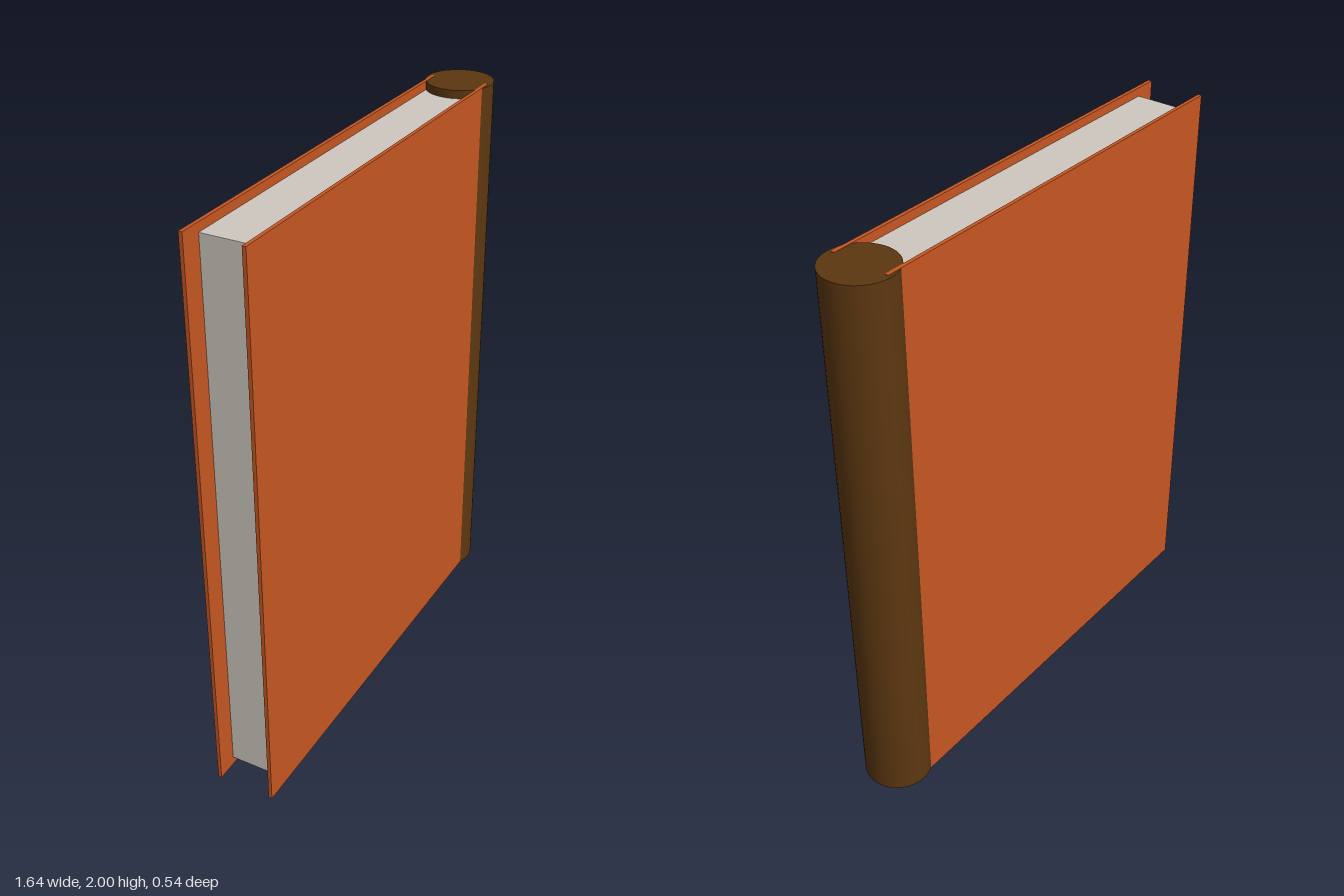
import * as THREE from 'three';

const HEIGHT = 2;
const COVER_LENGTH = 1.533;
const COVER_THICKNESS = 0.013;
const COVER_GAP = 0.2; // distance between the two cover centres
const PAGE_INSET = 0.03;

export function createModel() {
  const coverMat = new THREE.MeshStandardMaterial({ name: 'orange cover', color: 0xc65621 });
  const spineMat = new THREE.MeshStandardMaterial({ name: 'brown leather', color: 0x5c3710 });
  const pageMat = new THREE.MeshStandardMaterial({ name: 'grey paper', color: 0xcec8c0 });

  const model = new THREE.Group();
  model.name = 'book';

  // The closed book stands upright, turned slightly about its vertical axis
  const book = new THREE.Group();
  book.name = 'bookBody';
  book.position.set(-0.05, HEIGHT / 2, 0.005);
  book.rotation.y = 0.207;
  model.add(book);

  const add = (name, geometry, material, x, z) => {
    const mesh = new THREE.Mesh(geometry, material);
    mesh.name = name;
    mesh.position.set(x, 0, z);
    book.add(mesh);
  };

  // Front and back boards
  const board = new THREE.BoxGeometry(COVER_LENGTH, HEIGHT, COVER_THICKNESS);
  add('frontCover', board, coverMat, 0, COVER_GAP / 2);
  add('backCover', board, coverMat, 0, -COVER_GAP / 2);

  // Page block, set in from the edges and running into the spine
  const left = -0.692, right = 0.74;
  const pages = new THREE.BoxGeometry(right - left, HEIGHT - 2 * PAGE_INSET, COVER_GAP - COVER_THICKNESS);
  add('pages', pages, pageMat, (left + right) / 2, 0);

  // Round spine, a hair shorter than the boards
  const spine = new THREE.CylinderGeometry(0.118, 0.118, HEIGHT - 0.003, 48);
  add('spine', spine, spineMat, 0.767, 0);

  return model;
}
